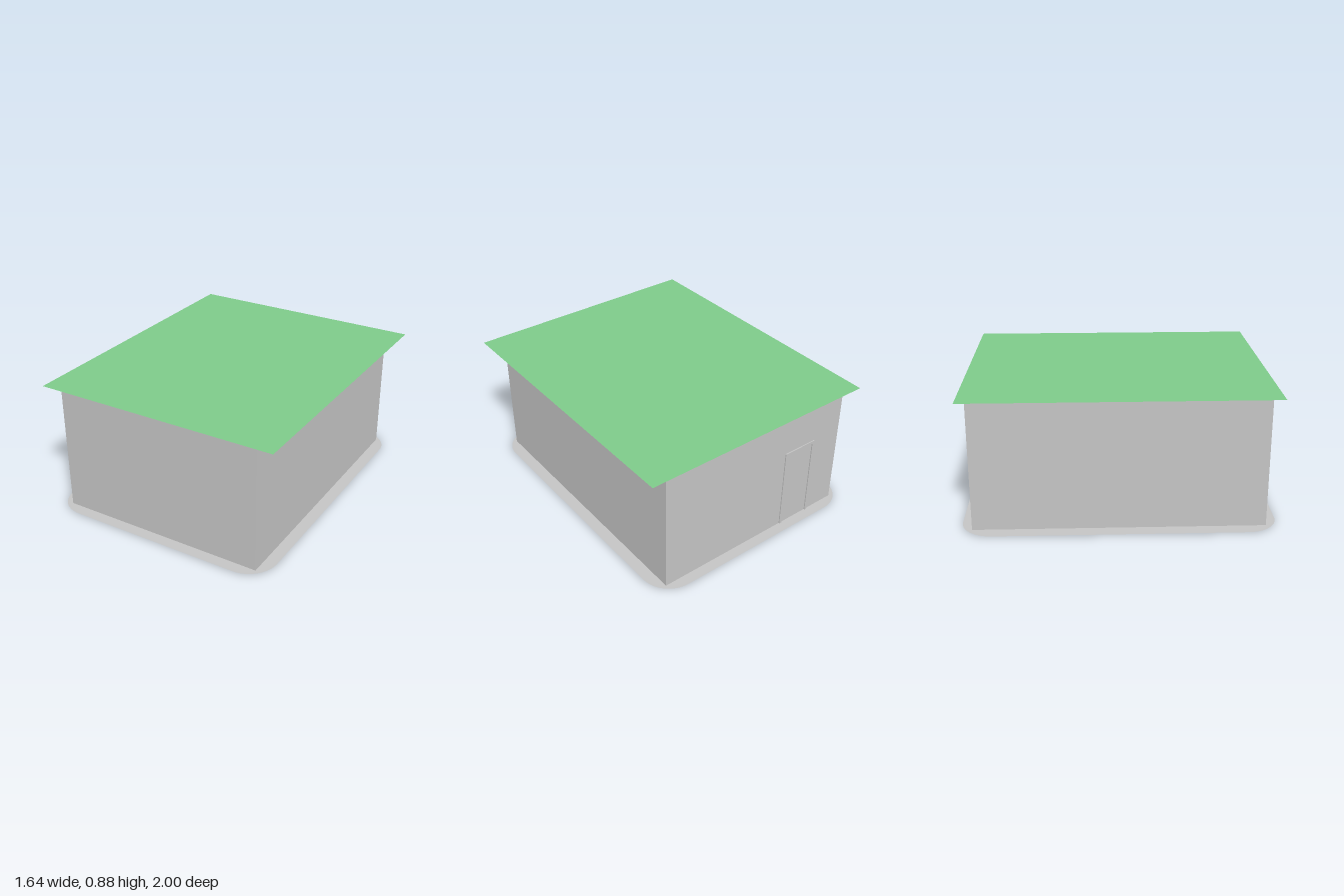
import * as THREE from 'three';

const WALL = { x0: -0.72, x1: 0.69, z0: -0.93, z1: 0.925, height: 0.875, thick: 0.02 };

function roundedRect(halfX, halfZ, r) {
  const s = new THREE.Shape();
  s.absarc(halfX - r, halfZ - r, r, 0, Math.PI / 2);
  s.absarc(r - halfX, halfZ - r, r, Math.PI / 2, Math.PI);
  s.absarc(r - halfX, r - halfZ, r, Math.PI, Math.PI * 1.5);
  s.absarc(halfX - r, r - halfZ, r, Math.PI * 1.5, Math.PI * 2);
  s.closePath();
  return s;
}

export function createModel() {
  const group = new THREE.Group();
  const material = (name, color) =>
    new THREE.MeshStandardMaterial({ name, color, side: THREE.DoubleSide });
  const grey = material('concrete grey', 0xc4c4c4);
  const green = material('roof green', 0x7eca8a);
  const blue = material('pool blue', 0x5d90a0);

  const add = (name, geometry, mat, parent = group) => {
    const mesh = new THREE.Mesh(geometry, mat);
    mesh.name = name;
    parent.add(mesh);
    return mesh;
  };

  // Box given by its lower and upper corners
  const box = (name, x0, x1, y0, y1, z0, z1, parent) =>
    add(name, new THREE.BoxGeometry(x1 - x0, y1 - y0, z1 - z0), grey, parent)
      .position.set((x0 + x1) / 2, (y0 + y1) / 2, (z0 + z1) / 2);

  // Flat sheet lying on the ground plane
  const sheet = (name, shape, mat, x, y) => {
    const geometry = new THREE.ShapeGeometry(shape, 16).rotateX(-Math.PI / 2);
    add(name, geometry, mat).position.set(x, y, 0);
  };

  // Ground slab with rounded corners, and the pool sheet just under it
  sheet('floorSlab', roundedRect(0.79, 1, 0.2), grey, -0.02, 0.003);
  sheet('pool', roundedRect(0.34, 0.64, 0.14), blue, -0.02, 0);

  // Four walls
  const { x0, x1, z0, z1, height, thick } = WALL;
  const walls = new THREE.Group();
  walls.name = 'walls';
  group.add(walls);
  const base = 0.004, top = height - 0.001;
  box('frontWall', x0, x1, base, top, z1 - thick, z1, walls);
  box('backWall', x0, x1, base, top, z0, z0 + thick, walls);
  box('rightWall', x0, x0 + thick, base, top, z0 + thick, z1 - thick, walls);
  box('leftWall', x1 - thick, x1, base, top, z0 + thick, z1 - thick, walls);

  // Door frame standing slightly proud of the back wall
  const door = new THREE.Group();
  door.name = 'doorFrame';
  group.add(door);
  const dx0 = -0.5, dx1 = -0.25, dTop = 0.58, bar = 0.018, out = z0 - 0.007;
  box('doorPost', dx0, dx0 + bar, base, dTop, out, z0, door);
  box('doorPost', dx1 - bar, dx1, base, dTop, out, z0, door);
  box('doorLintel', dx0 + bar, dx1 - bar, dTop - bar, dTop, out, z0, door);

  // Flat overhanging roof sheet
  const roof = new THREE.PlaneGeometry(1.64, 1.96).rotateX(-Math.PI / 2);
  add('roof', roof, green).position.set(0, height, 0);

  return group;
}
